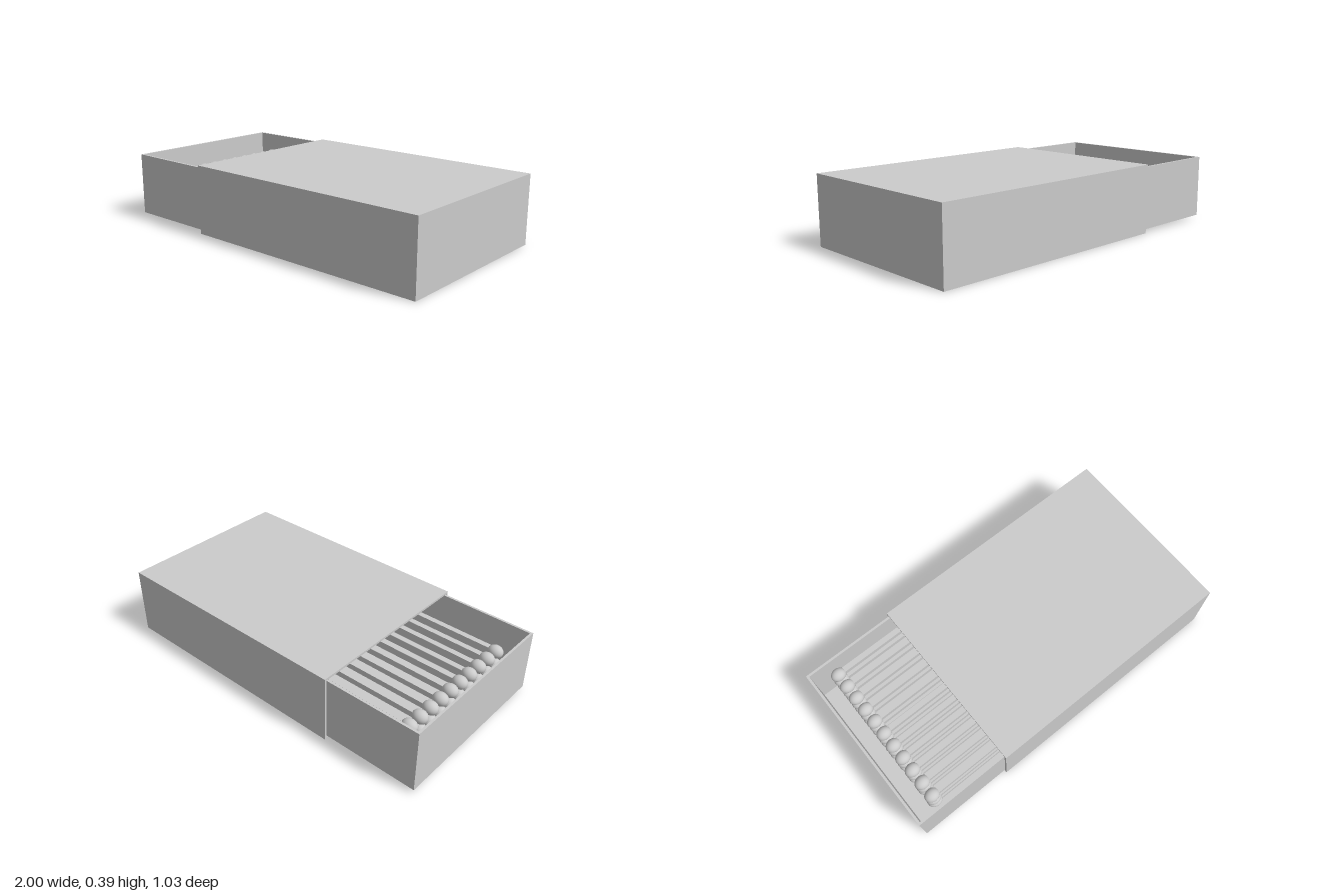
import * as THREE from 'three';

const material = new THREE.MeshStandardMaterial({ color: 0xcccccc });

// Box given by its minimum and maximum corners
function slab(name, min, max) {
  const size = max.map((v, i) => v - min[i]);
  const mesh = new THREE.Mesh(new THREE.BoxGeometry(...size), material);
  mesh.name = name;
  mesh.position.set(...max.map((v, i) => (v + min[i]) / 2));
  return mesh;
}

// Outer sleeve: a hollow box, open at the drawer end and closed at the other
function createSleeve() {
  const [x0, x1, h, z, t] = [-0.455, 1, 0.393, 0.516, 0.012];
  const sleeve = new THREE.Group();
  sleeve.name = 'sleeve';
  sleeve.add(
    slab('sleeveTop', [x0, h - t, -z], [x1, h, z]),
    slab('sleeveBottom', [x0, 0, -z], [x1, t, z]),
    slab('sleeveFront', [x0, t, z - t], [x1, h - t, z]),
    slab('sleeveBack', [x0, t, -z], [x1, h - t, -z + t]),
    slab('sleeveEnd', [x1 - t, t, -z + t], [x1, h - t, z - t])
  );
  return sleeve;
}

// Sliding tray: a floor and four thin walls
function createTray() {
  const [x0, x1, y0, y1, z, t] = [-1, 0.45, 0.018, 0.378, 0.502, 0.013];
  const tray = new THREE.Group();
  tray.name = 'tray';
  tray.add(
    slab('trayFloor', [x0, y0, -z], [x1, y0 + t, z]),
    slab('trayFront', [x0, y0 + t, z - t], [x1, y1, z]),
    slab('trayBack', [x0, y0 + t, -z], [x1, y1, -z + t]),
    slab('trayOuterEnd', [x0, y0 + t, -z + t], [x0 + t, y1, z - t]),
    slab('trayInnerEnd', [x1 - t, y0 + t, -z + t], [x1, y1, z - t])
  );
  return tray;
}

// Matches: square sticks with egg-shaped heads, stacked in rows
function createMatches() {
  const matches = new THREE.Group();
  matches.name = 'matches';
  const headGeometry = new THREE.SphereGeometry(1, 20, 14).scale(0.044, 0.037, 0.037);
  const s = 0.016;
  for (let layer = 0; layer < 3; layer++) {
    for (let i = 0; i < 11; i++) {
      const match = new THREE.Group();
      match.name = 'match';
      const head = new THREE.Mesh(headGeometry, material);
      head.name = 'matchHead';
      head.position.x = -0.857;
      match.add(slab('matchStick', [-0.85, -s, -s], [0.38, s, s]), head);
      match.position.set(0, 0.075 + layer * 0.085, -0.453 + i * 0.085);
      matches.add(match);
    }
  }
  return matches;
}

export function createModel() {
  const model = new THREE.Group();
  model.name = 'matchbox';
  model.add(createSleeve(), createTray(), createMatches());
  return model;
}
